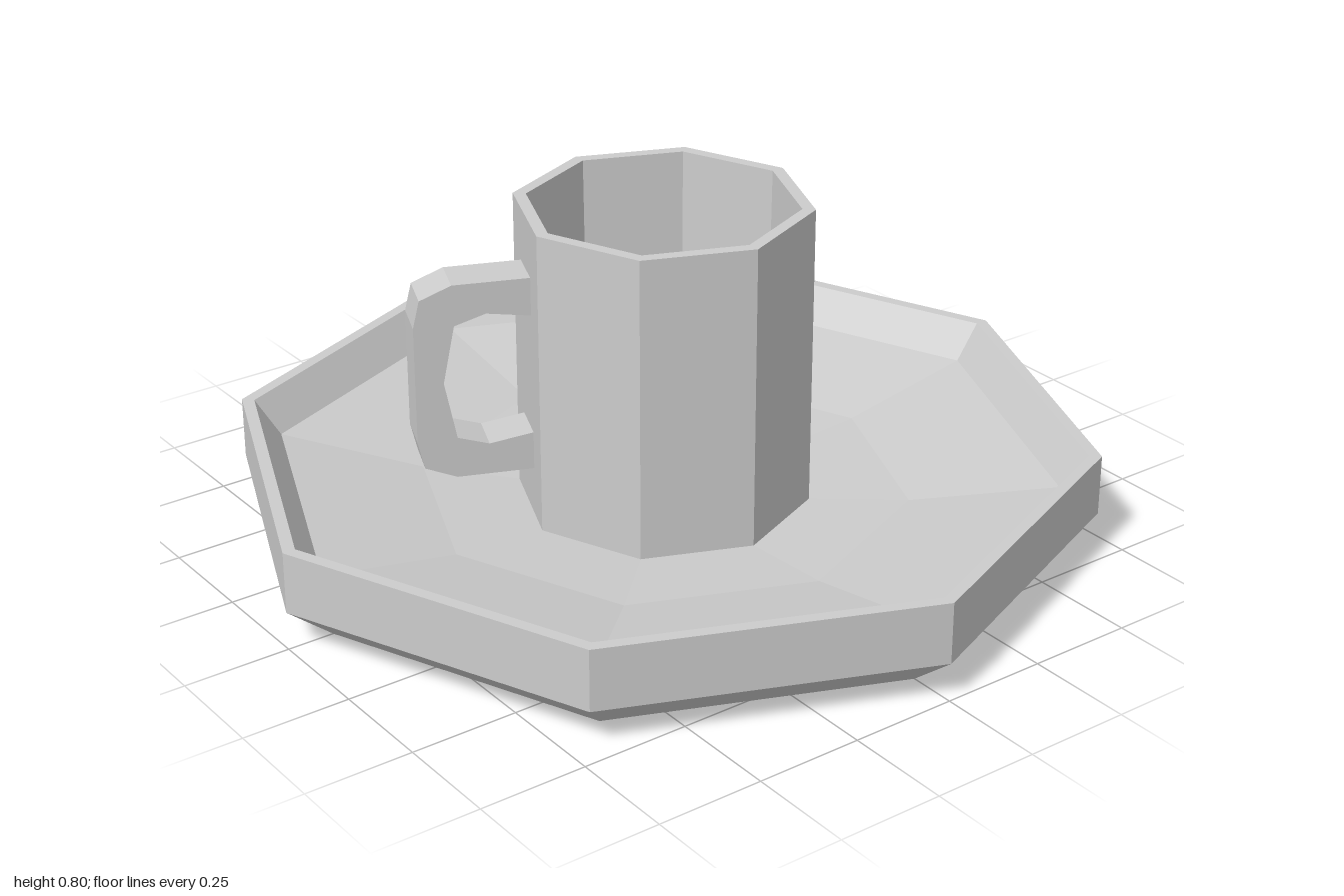
import * as THREE from 'three';

const material = new THREE.MeshStandardMaterial({ color: 0xcccccc, flatShading: true });
const SIDES = 8;

// Eight-sided solid of revolution; the profile runs from the underside outward, up and back to the axis
function turned(name, profile) {
  const points = profile.map(([r, y]) => new THREE.Vector2(r, y));
  const mesh = new THREE.Mesh(new THREE.LatheGeometry(points, SIDES), material);
  mesh.name = name;
  return mesh;
}

// C-shaped handle, drawn as distance from the cup axis and height
function makeHandle() {
  const midY = 0.43, width = 0.105;
  const outerHalf = [[0.3, 0.235], [0.49, 0.235], [0.563, 0.205], [0.578, 0.14]];
  const innerHalf = [[0.514, 0], [0.487, 0.137], [0.415, 0.16], [0.3, 0.142]];
  const mirrored = (half) => half.map(([r, y]) => [r, -y]).reverse();
  const outline = [
    ...mirrored(outerHalf).reverse(),
    ...[...outerHalf].reverse(),
    ...[...innerHalf].reverse(),
    ...mirrored(innerHalf.slice(1)).reverse(),
  ];
  const shape = new THREE.Shape(outline.map(([r, y]) => new THREE.Vector2(r, y + midY)));
  const geometry = new THREE.ExtrudeGeometry(shape, { depth: width, bevelEnabled: false });
  geometry.translate(0, 0, -width / 2);
  const mesh = new THREE.Mesh(geometry, material);
  mesh.name = 'handle';
  mesh.rotation.y = Math.PI * 7 / 8; // centred on one flat of the cup
  return mesh;
}

export function createModel() {
  const group = new THREE.Group();
  group.name = 'cupAndSaucer';

  // Saucer with a raised rim and a shallow dished floor
  group.add(turned('saucer', [
    [0, 0], [0.89, 0], [1, 0.09], [1, 0.235], [0.97, 0.235],
    [0.91, 0.15], [0.57, 0.09], [0, 0.055],
  ]));

  // Hollow cup with a slightly tapered inside
  group.add(turned('cup', [
    [0, 0.06], [0.34, 0.06], [0.34, 0.795], [0.31, 0.795], [0.3, 0.1], [0, 0.1],
  ]));

  group.add(makeHandle());
  return group;
}
